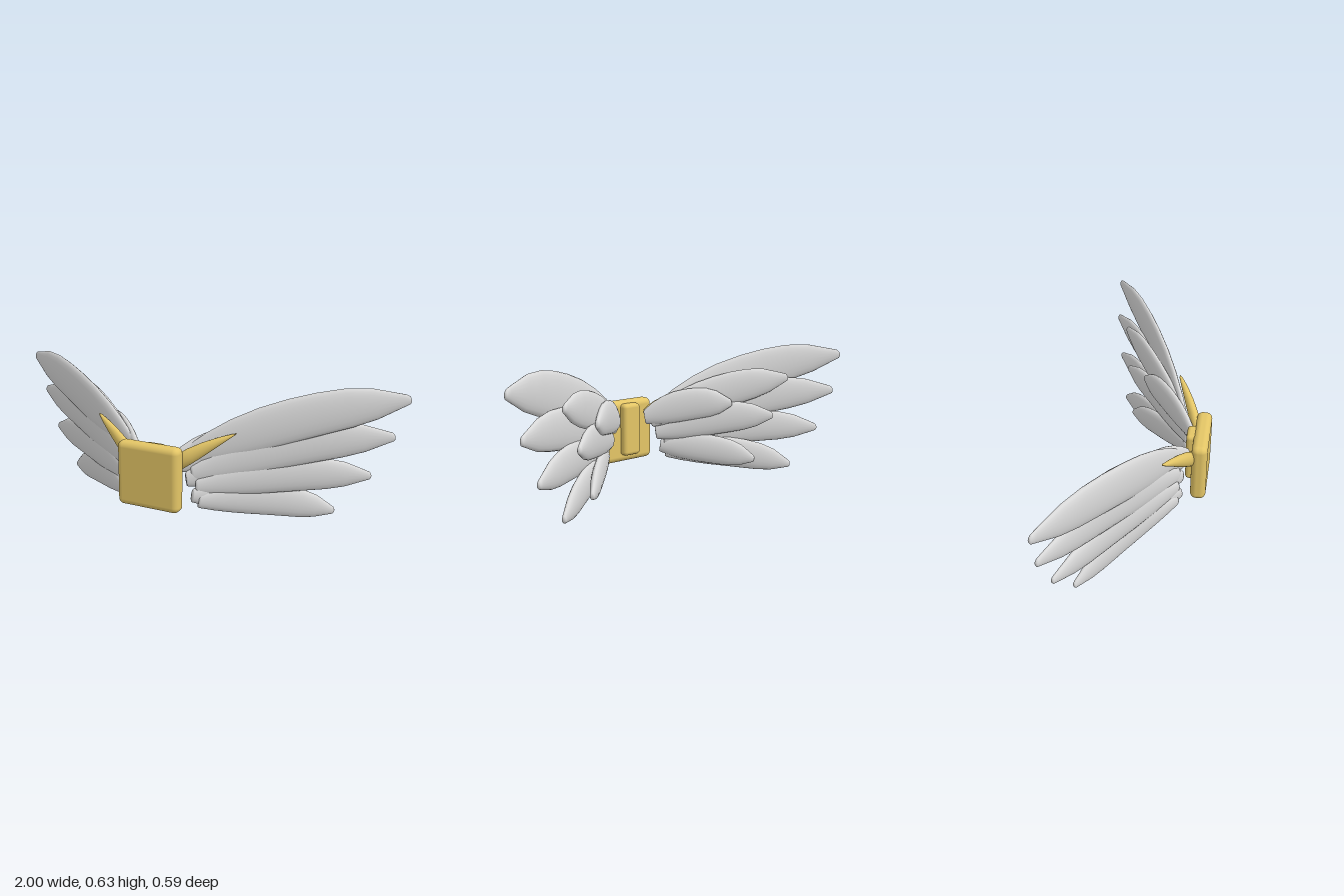
import * as THREE from 'three';
import { RoundedBoxGeometry } from 'three/addons/geometries/RoundedBoxGeometry.js';

// Profiles: [position along the length, relative width]
const FEATHER = [[0, 0], [0, 0.38], [0.012, 0.47], [0.12, 0.72], [0.24, 0.9], [0.37, 1], [0.5, 1.02],
  [0.62, 1], [0.74, 0.93], [0.85, 0.74], [0.975, 0.29], [0.993, 0.22], [1, 0.12], [1, 0]];
const SPIKE = [[0, 0], [0, 1], [0.25, 0.98], [0.5, 0.78], [0.75, 0.46], [0.95, 0.14], [1, 0]];

// Flattened elliptical blade swept from root to tip, bowed along its width axis and forward
function bladeGeometry(root, tip, halfWidth, halfThick, bow, forward, profile) {
  const sides = 20;
  const d = tip.clone().sub(root).normalize();
  const u = new THREE.Vector3(0, 1, 0).addScaledVector(d, -d.y).normalize();
  const n = d.clone().cross(u);
  const pos = [], index = [];
  profile.forEach(([t, w], i) => {
    const arc = 4 * t * (1 - t);
    const c = root.clone().lerp(tip, t).addScaledVector(u, bow * arc);
    c.z += forward * arc;
    for (let j = 0; j < sides; j++) {
      const a = (j / sides) * Math.PI * 2;
      const p = c.clone()
        .addScaledVector(u, Math.cos(a) * w * halfWidth)
        .addScaledVector(n, Math.sin(a) * Math.pow(w, 0.6) * halfThick);
      pos.push(p.x, p.y, p.z);
      if (i < profile.length - 1) {
        const k = (j + 1) % sides;
        const A = i * sides + j, B = i * sides + k;
        index.push(A, B, B + sides, A, B + sides, A + sides);
      }
    }
  });
  const g = new THREE.BufferGeometry();
  g.setAttribute('position', new THREE.Float32BufferAttribute(pos, 3));
  g.setIndex(index);
  g.computeVertexNormals();
  return g;
}

// Feathers of one wing: name, root, tip, half width, bow, forward bow
const FEATHERS = [
  ['primaryFeather1', [0.13, 0.312, 0.165], [0.997, 0.58, -0.283], 0.097, 0.046, 0.02],
  ['primaryFeather2', [0.16, 0.237, 0.165], [0.94, 0.4, -0.288], 0.088, 0.044, 0.008],
  ['primaryFeather3', [0.18, 0.182, 0.165], [0.852, 0.212, -0.26], 0.079, 0.03, 0],
  ['primaryFeather4', [0.195, 0.118, 0.165], [0.705, 0.032, -0.212], 0.073, 0.029, -0.005],
  ['secondaryFeather1', [0.11, 0.28, 0.185], [0.685, 0.48, -0.2], 0.083, 0.03, 0],
  ['secondaryFeather2', [0.14, 0.215, 0.18], [0.6, 0.295, -0.181], 0.077, 0.024, 0],
  ['secondaryFeather3', [0.17, 0.145, 0.18], [0.51, 0.077, -0.145], 0.07, 0.018, 0],
  ['covertFeather', [0.085, 0.295, 0.2], [0.42, 0.363, -0.07], 0.077, 0.027, 0],
];

export function createModel() {
  const gold = new THREE.MeshStandardMaterial({ color: 0xe3c566 });
  gold.name = 'gold';
  const grey = new THREE.MeshStandardMaterial({ color: 0xd9d9d9 });
  grey.name = 'featherGrey';

  const model = new THREE.Group();
  model.name = 'wingedPlate';
  const add = (parent, name, geometry, material) => {
    const mesh = new THREE.Mesh(geometry, material);
    mesh.name = name;
    parent.add(mesh);
    return mesh;
  };

  // Front plate and the raised bar behind it
  add(model, 'frontPlate', new RoundedBoxGeometry(0.306, 0.3, 0.072, 4, 0.028), gold)
    .position.set(0, 0.235, 0.256);
  add(model, 'backBar', new RoundedBoxGeometry(0.1, 0.252, 0.06, 4, 0.018), gold)
    .position.set(0, 0.246, 0.216);

  // Mirrored wings, each with one gold spike
  for (const side of [1, -1]) {
    const wing = new THREE.Group();
    wing.name = side > 0 ? 'leftWing' : 'rightWing';
    const at = ([x, y, z]) => new THREE.Vector3(x * side, y, z);
    for (const [name, root, tip, width, bow, forward] of FEATHERS) {
      add(wing, name, bladeGeometry(at(root), at(tip), width, 0.024, bow, forward, FEATHER), grey);
    }
    add(wing, 'spike',
      bladeGeometry(at([0.115, 0.3, 0.222]), at([0.35, 0.441, 0.112]), 0.035, 0.024, 0.006, 0.004, SPIKE), gold);
    model.add(wing);
  }
  return model;
}
